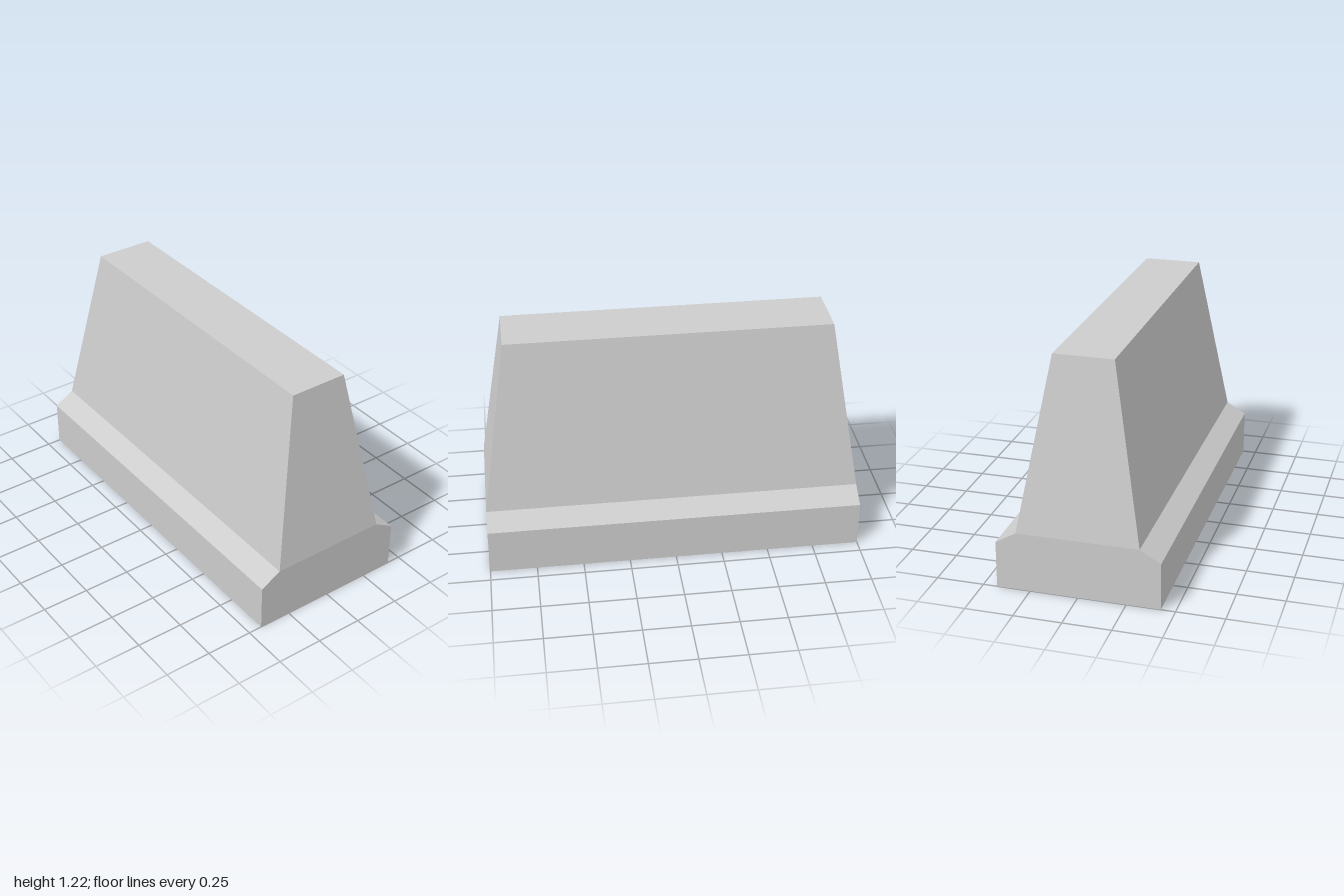
import * as THREE from 'three';

const concrete = new THREE.MeshStandardMaterial({ color: 0xcccccc });
concrete.name = 'concrete grey';

const LENGTH = 2;
const SHOULDER_Y = 0.313, TOP_Y = 1.222;
const BASE_Z = 0.426, SHOULDER_Z = 0.318, TOP_Z = 0.156, TOP_X = 0.857;

// Footing: a chamfered profile extruded along x
function createFooting() {
  const profile = new THREE.Shape([
    [-BASE_Z, 0], [BASE_Z, 0], [BASE_Z, 0.25],
    [SHOULDER_Z, SHOULDER_Y], [-SHOULDER_Z, SHOULDER_Y], [-BASE_Z, 0.25],
  ].map(([z, y]) => new THREE.Vector2(z, y)));
  const geometry = new THREE.ExtrudeGeometry(profile, { depth: LENGTH, bevelEnabled: false });
  geometry.translate(0, 0, -LENGTH / 2).rotateY(Math.PI / 2);
  const mesh = new THREE.Mesh(geometry, concrete);
  mesh.name = 'footing';
  return mesh;
}

// Wall: a box whose top corners are drawn in on all four sides
function createWall() {
  const geometry = new THREE.BoxGeometry(LENGTH, TOP_Y - SHOULDER_Y, SHOULDER_Z * 2);
  const p = geometry.attributes.position;
  for (let i = 0; i < p.count; i++) {
    if (p.getY(i) > 0) {
      p.setX(i, Math.sign(p.getX(i)) * TOP_X);
      p.setZ(i, Math.sign(p.getZ(i)) * TOP_Z);
    }
  }
  geometry.translate(0, (TOP_Y + SHOULDER_Y) / 2, 0);
  geometry.computeVertexNormals();
  const mesh = new THREE.Mesh(geometry, concrete);
  mesh.name = 'taperedWall';
  return mesh;
}

export function createModel() {
  const group = new THREE.Group();
  group.name = 'barrier';
  group.add(createFooting(), createWall());
  return group;
}
